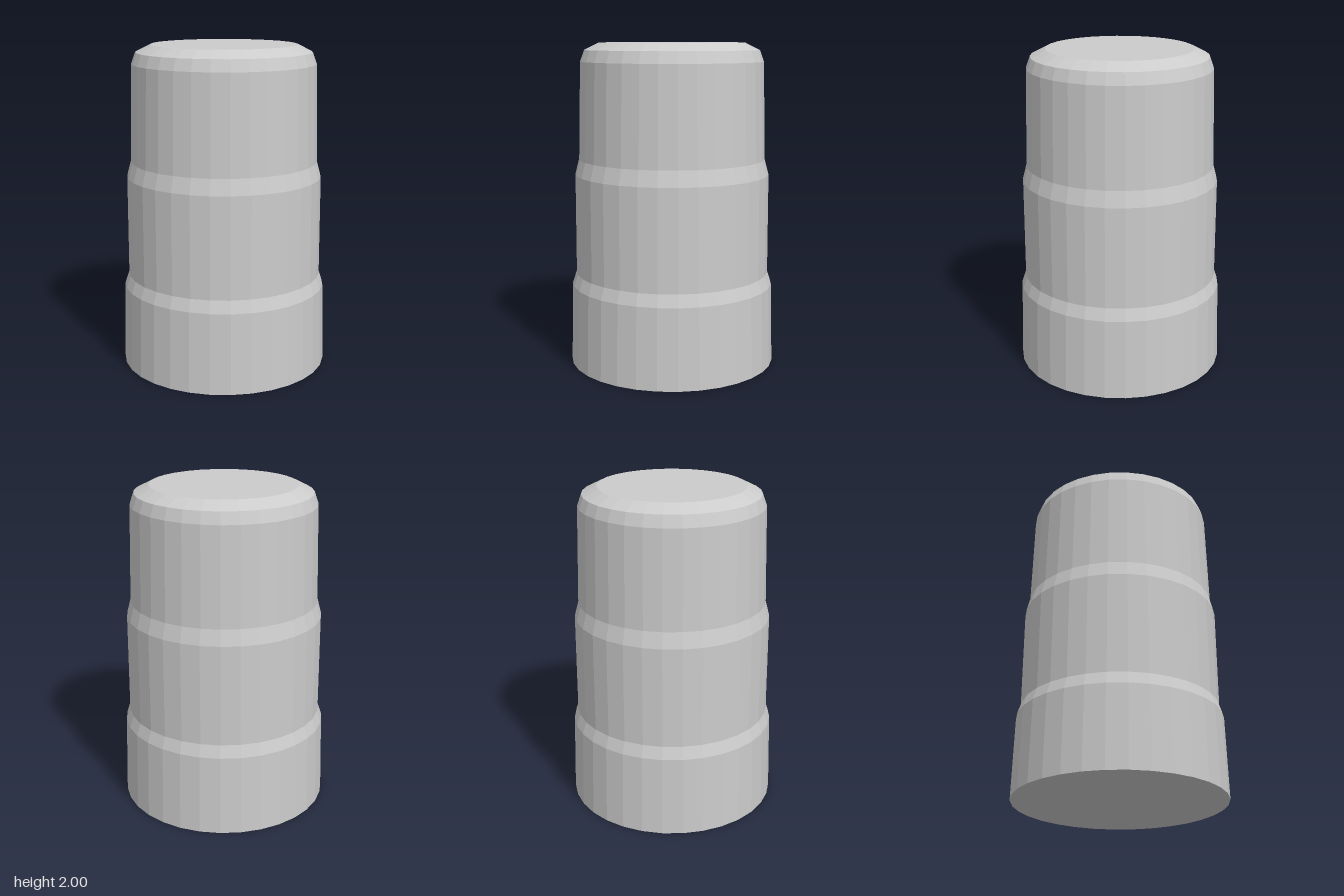
import * as THREE from 'three';

const SIDES = 32;
const STEP = (Math.PI * 2) / SIDES;

export function createModel() {
  const group = new THREE.Group();
  group.name = 'steppedCap';
  const material = new THREE.MeshStandardMaterial({ color: 0xcccccc, flatShading: true });

  // Half width across flats and height, from the base up to the bevelled top
  const profile = [
    [0, 0],
    [0.64, 0], [0.627, 0.5],      // base tier
    [0.602, 0.575], [0.6, 1.195], // middle tier
    [0.575, 1.29], [0.56, 1.885], // upper tier
    [0.535, 1.955], [0.445, 2],   // bevelled rim
    [0, 2],
  ].map(([r, y]) => new THREE.Vector2(r / Math.cos(STEP / 2), y));

  // Half-step turn puts flat faces on the x and z axes
  const body = new THREE.Mesh(new THREE.LatheGeometry(profile, SIDES, STEP / 2), material);
  body.name = 'body';
  group.add(body);
  return group;
}
